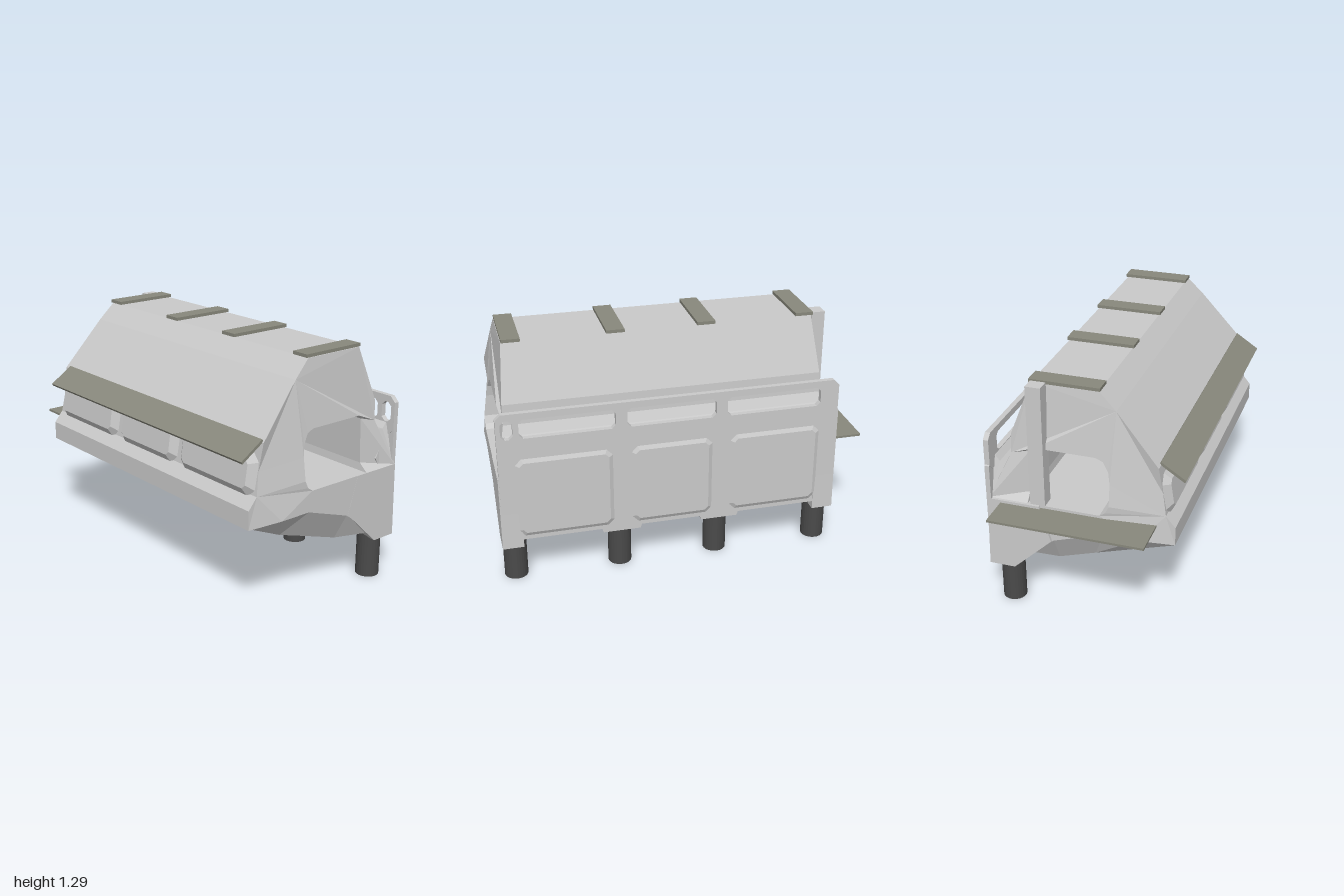
import * as THREE from 'three';

const flat = (name, color, side = THREE.FrontSide) => {
  const m = new THREE.MeshStandardMaterial({ color, flatShading: true, side });
  m.name = name;
  return m;
};

// offset of the end walls: they flare outward towards the sill
const flare = (y, z) => {
  const o = y > 0.93 ? 0.04 * (1.27 - y) / 0.34
    : y > 0.7 ? 0.04 + 0.04 * (0.93 - y) / 0.23 : 0.08;
  if (z < -0.275 && y > 0.63) return Math.min(o, 0.025);
  return z > 0.4 ? o - 0.035 : o;
};

export function createModel() {
  const group = new THREE.Group();
  const shellMat = flat('light grey shell', 0xcacaca, THREE.DoubleSide);
  const boardMat = flat('olive grey boards', 0x88887c);
  const legMat = flat('dark grey legs', 0x4a4a4a, THREE.DoubleSide);

  const add = (name, geo, mat) => {
    const mesh = new THREE.Mesh(geo, mat);
    mesh.name = name;
    group.add(mesh);
    return mesh;
  };
  const box = (name, x0, x1, y0, y1, z0, z1, mat) => {
    const m = add(name, new THREE.BoxGeometry(x1 - x0, y1 - y0, z1 - z0), mat);
    m.position.set((x0 + x1) / 2, (y0 + y1) / 2, (z0 + z1) / 2);
    return m;
  };
  const toVec = (pts) => pts.map(([a, b]) => new THREE.Vector2(a, b));
  // extrude a [z, y] profile along x
  const alongX = (pts, x0, x1, hole) => {
    const mirror = (p) => toVec(p.map(([z, y]) => [-z, y]));
    const s = new THREE.Shape(mirror(pts).reverse());
    if (hole) s.holes.push(new THREE.Path(mirror(hole)));
    return new THREE.ExtrudeGeometry(s, { depth: x1 - x0, bevelEnabled: false })
      .rotateY(Math.PI / 2).translate(x0, 0, 0);
  };
  // octagonal outline: rectangle with cut corners
  const cutRect = (x0, x1, y0, y1, c) => toVec([
    [x0 + c, y0], [x1 - c, y0], [x1, y0 + c], [x1, y1 - c],
    [x1 - c, y1], [x0 + c, y1], [x0, y1 - c], [x0, y0 + c]]);

  // main body with a passage through both ends
  const profile = [
    [0.08, 1.27], [-0.27, 1.27], [-0.38, 0.98], [-0.385, 0.87], [-0.41, 0.82],
    [-0.45, 0.81], [-0.475, 0.84], [-0.495, 0.84], [-0.495, 0.64], [-0.495, 0.62],
    [-0.495, 0.27], [-0.37, 0.27], [-0.15, 0.42], [0.12, 0.51], [0.3, 0.51],
    [0.485, 0.5], [0.485, 0.6], [0.435, 0.66], [0.415, 0.78], [0.395, 0.92],
    [0.17, 1.18]];
  const passage = [
    [0.15, 0.68], [0.15, 0.8], [0.14, 0.86], [0.11, 0.91], [0.07, 0.925],
    [-0.25, 0.925], [-0.28, 0.9], [-0.29, 0.66], [-0.285, 0.62], [0.1, 0.62],
    [0.13, 0.64]];
  const body = alongX(profile, -0.73, 0.91, passage);
  const pos = body.attributes.position;
  for (let i = 0; i < pos.count; i++) {
    const x = pos.getX(i);
    pos.setX(i, x + (x > 0 ? 1 : -1) * flare(pos.getY(i), pos.getZ(i)));
  }
  body.computeVertexNormals();
  add('body', body, shellMat);

  // underside: [rim z, rim y, bottom z, bottom y], narrowing downward
  const rows = [
    [0.485, 0.5, 0.485, 0.5], [0.3, 0.51, 0.24, 0.395], [0.12, 0.51, 0.05, 0.335],
    [-0.15, 0.42, -0.15, 0.27], [-0.37, 0.27, -0.37, 0.265]];
  const verts = [], index = [];
  rows.forEach(([rz, ry, bz, by], i) => {
    const o = flare(ry, rz);
    verts.push(0.91 + o, ry, rz, 0.91, by, bz, -0.73, by, bz, -0.73 - o, ry, rz);
    if (i === rows.length - 1) return;
    for (let k = 0; k < 3; k++) {
      const a = i * 4 + k;
      index.push(a, a + 1, a + 4, a + 1, a + 5, a + 4);
    }
  });
  const under = new THREE.BufferGeometry();
  under.setAttribute('position', new THREE.Float32BufferAttribute(verts, 3));
  under.setIndex(index);
  under.computeVertexNormals();
  add('underside', under, shellMat);

  // gussets at both ends, above the outer legs, topped by a shelf
  const gusset = [[-0.22, 0.62], [-0.5, 0.62], [-0.51, 0.22], [-0.37, 0.22], [-0.16, 0.42]];
  add('leftGusset', alongX(gusset, 0.88, 0.991), shellMat);
  add('rightGusset', alongX(gusset, -0.825, -0.71), shellMat);

  // three bays shared by the front bulges and the back panels
  const bays = [[-0.77, -0.18], [-0.18, 0.35], [0.35, 0.95]];
  const bevelled = (a, b, y0, y1, depth, size) => new THREE.ExtrudeGeometry(
    new THREE.Shape(cutRect(a + size, b - size, y0 + size, y1 - size, 0.02)),
    { depth: 0.005, bevelThickness: depth, bevelSize: size, bevelSegments: 1 });
  bays.forEach(([a, b]) => {
    add('frontBulge', bevelled(a + 0.01, b - 0.01, 0.635, 0.87, 0.035, 0.045)
      .translate(0, -0.75, 0).rotateX(-0.15).translate(0, 0.75, 0.412), shellMat);
    add('backPanel', bevelled(a + 0.04, b - 0.04, 0.275, 0.74, 0.016, 0.03)
      .translate(0, 0, -0.5), shellMat);
  });

  // back wall
  const wall = new THREE.Shape(cutRect(-0.825, 0.985, 0.262, 0.83, 0.02));
  add('backWall', new THREE.ExtrudeGeometry(wall, { depth: 0.025, bevelEnabled: false })
    .translate(0, 0, -0.505), shellMat);

  // rail above the back wall, with a narrow loop at its left end
  const rail = new THREE.Shape(cutRect(-0.82, 0.985, 0.78, 0.985, 0.03));
  [[-0.72, -0.21], [-0.15, 0.32], [0.38, 0.87], [0.9, 0.962]].forEach(([a, b]) =>
    rail.holes.push(new THREE.Path(cutRect(a, b, 0.845, 0.95, 0.02))));
  add('backRail', new THREE.ExtrudeGeometry(rail, { depth: 0.028, bevelEnabled: false })
    .translate(0, 0, -0.505), shellMat);

  // small socket on the left end
  const socket = add('endSocket', new THREE.CylinderGeometry(0.045, 0.05, 0.06, 6), shellMat);
  socket.rotation.z = -Math.PI / 2;
  socket.position.set(0.935, 0.67, -0.42);

  // entrance post and side platform
  box('entrancePost', -0.81, -0.735, 0.6, 1.28, -0.27, -0.19, shellMat);
  box('sidePlatform', -1, -0.75, 0.594, 0.606, -0.43, 0.39, boardMat);

  // roof slats
  [-0.69, -0.153, 0.327, 0.86].forEach((x) =>
    box('roofSlat', x - 0.048, x + 0.048, 1.271, 1.288, -0.28, 0.088, boardMat));

  // front awning
  const awning = box('awning', -0.73, 0.94, 0.88, 0.895, 0.376, 0.531, boardMat);
  awning.rotation.x = Math.atan2(0.085, 0.13);

  // hollow legs, with brackets at the inner two
  const tube = new THREE.LatheGeometry(toVec([
    [0.046, 0], [0.0625, 0], [0.0625, 0.29], [0.046, 0.29], [0.046, 0]]), 28);
  [-0.76, -0.18, 0.355, 0.92].forEach((x, i) => {
    add('leg', tube, legMat).position.set(x, 0, -0.405);
    if (i === 1 || i === 2) {
      const b = new THREE.Shape(toVec([
        [x - 0.1, 0.23], [x + 0.1, 0.23], [x + 0.12, 0.29], [x - 0.12, 0.29]]));
      add('legBracket', new THREE.ExtrudeGeometry(b, { depth: 0.12, bevelEnabled: false })
        .translate(0, 0, -0.49), shellMat);
    }
  });

  return group;
}
